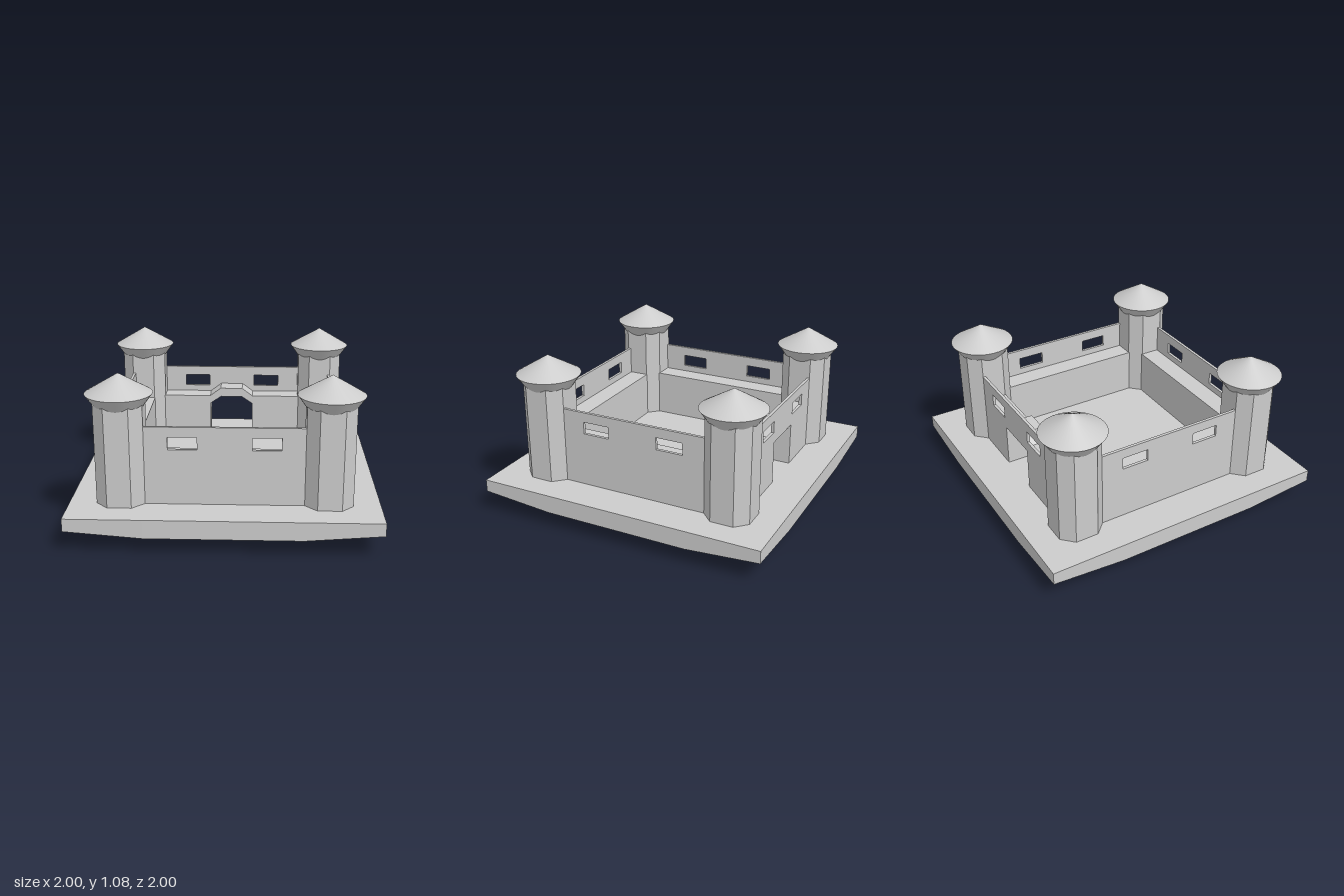
import * as THREE from 'three';

const GROUND = 0.235, WALK = 0.56, TOP = 0.755;
const OUTER = 0.745, LIP = 0.725, INNER = 0.585, TOWER = 0.667;

const material = new THREE.MeshStandardMaterial({ color: 0xcccccc, flatShading: true });
const smooth = new THREE.MeshStandardMaterial({ color: 0xcccccc });

function add(parent, name, geometry, mat = material) {
  const mesh = new THREE.Mesh(geometry, mat);
  mesh.name = name;
  parent.add(mesh);
  return mesh;
}

const toPoints = (list) => list.map(([x, y]) => new THREE.Vector2(x, y));
const extrude = (shape, depth) =>
  new THREE.ExtrudeGeometry(shape, { depth, bevelEnabled: false });

// Square slab whose underside bulges down in flat facets
function baseGeometry() {
  const geo = new THREE.BoxGeometry(2, 1, 2, 4, 1, 4);
  const p = geo.attributes.position;
  for (let i = 0; i < p.count; i++) {
    const sides = (Math.abs(p.getX(i)) > 0.9 ? 1 : 0) + (Math.abs(p.getZ(i)) > 0.9 ? 1 : 0);
    p.setY(i, p.getY(i) > 0 ? GROUND : [0, 0.11, 0.15][sides]);
  }
  geo.computeVertexNormals();
  return geo;
}

// Wall facing +z: thin outer screen with windows, thick inner wall with walkway
function makeWall(name, hasGate) {
  const wall = new THREE.Group();
  wall.name = name;
  const e = TOWER;

  const gateOuter = hasGate ? [[0.16, GROUND], [0.16, 0.53], [-0.16, 0.53], [-0.16, GROUND]] : [];
  const screen = new THREE.Shape(toPoints(
    [[e, GROUND], [e, TOP], [-e, TOP], [-e, GROUND], ...gateOuter.slice().reverse()]));
  for (const x of [-0.267, 0.267]) {
    screen.holes.push(new THREE.Path(toPoints(
      [[x - 0.093, 0.605], [x - 0.093, 0.688], [x + 0.093, 0.688], [x + 0.093, 0.605]])));
  }
  add(wall, 'parapet', extrude(screen, OUTER - LIP)).position.z = LIP;

  // Walkway rises over the arched gateway
  const bump = hasGate ? [[0.163, WALK], [0.083, 0.62], [-0.083, 0.62], [-0.163, WALK]] : [];
  const arch = hasGate
    ? [[-0.16, GROUND], [-0.16, 0.5], [-0.08, 0.555], [0.08, 0.555], [0.16, 0.5], [0.16, GROUND]] : [];
  const body = new THREE.Shape(toPoints(
    [[e, GROUND], [e, WALK], ...bump, [-e, WALK], [-e, GROUND], ...arch]));
  add(wall, 'walkway', extrude(body, LIP - INNER)).position.z = INNER;
  return wall;
}

// Eight-sided shaft under a round conical roof with tapered eaves
function makeTower(x, z) {
  const tower = new THREE.Group();
  tower.name = 'tower';
  const a = 0.156, b = 0.078;
  const plan = new THREE.Shape(toPoints(
    [[a, -b], [a, b], [b, a], [-b, a], [-a, b], [-a, -b], [-b, -a], [b, -a]]));
  const shaft = add(tower, 'towerShaft', extrude(plan, 0.925 - GROUND));
  shaft.rotation.x = -Math.PI / 2;
  shaft.position.y = GROUND;

  const roof = new THREE.ConeGeometry(0.215, 0.128, 40, 1, true);
  add(tower, 'towerRoof', roof, smooth).position.y = 0.954 + 0.064;
  const eaves = new THREE.CylinderGeometry(0.215, 0.14, 0.106, 40, 1, true);
  add(tower, 'towerEaves', eaves, smooth).position.y = 0.954 - 0.053;

  tower.position.set(x, 0, z);
  return tower;
}

export function createModel() {
  const model = new THREE.Group();
  model.name = 'fortress';
  add(model, 'base', baseGeometry());

  // Four walls, the gate in the back one
  ['frontWall', 'leftWall', 'backWall', 'rightWall'].forEach((name, i) => {
    const wall = makeWall(name, name === 'backWall');
    wall.rotation.y = i * Math.PI / 2;
    model.add(wall);
  });

  // Corner towers
  for (const x of [-TOWER, TOWER]) {
    for (const z of [-TOWER, TOWER]) model.add(makeTower(x, z));
  }
  return model;
}
